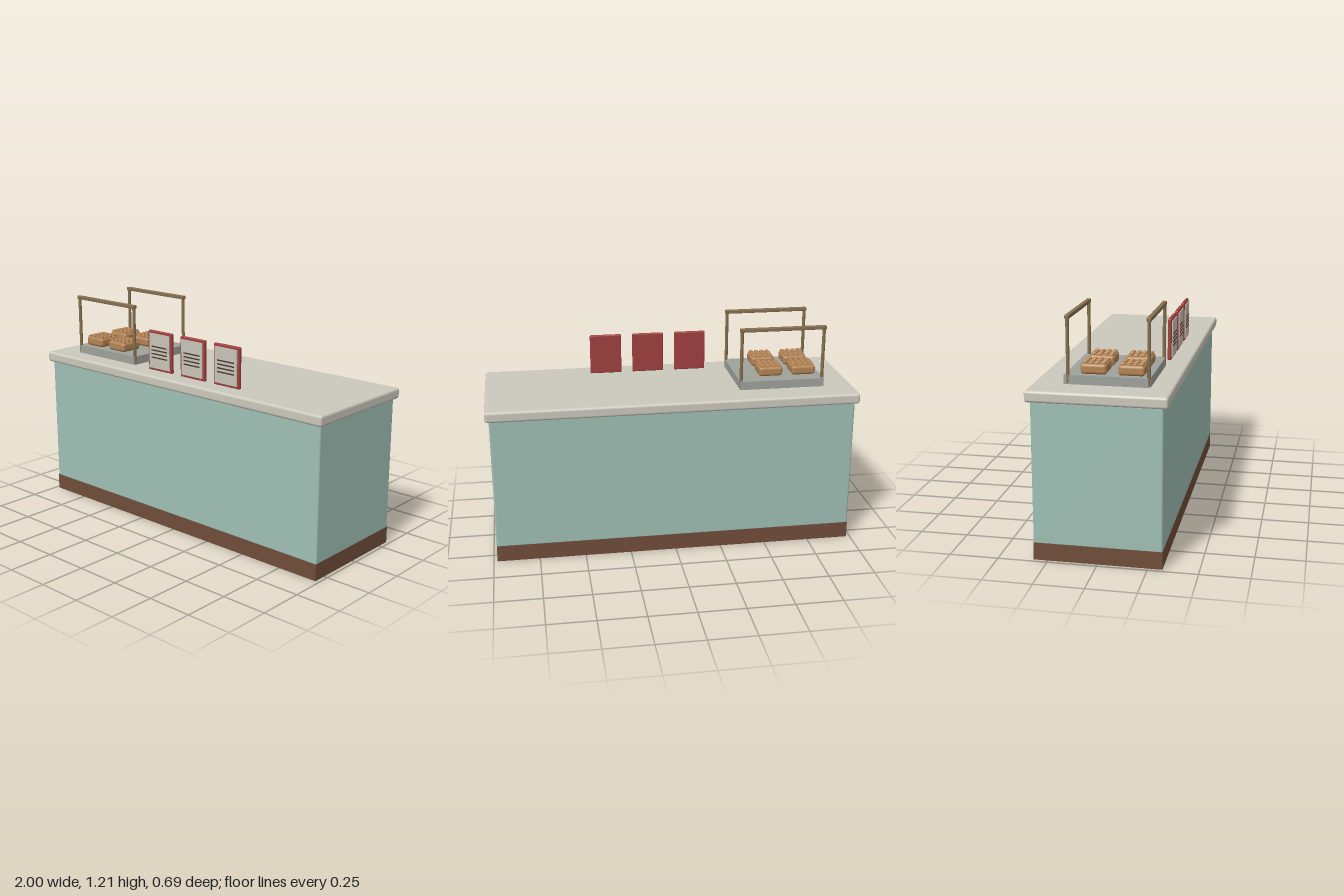
import * as THREE from 'three';
import { RoundedBoxGeometry } from 'three/addons/geometries/RoundedBoxGeometry.js';

const material = (name, color) => {
  const m = new THREE.MeshStandardMaterial({ color });
  m.name = name;
  return m;
};

export function createModel() {
  const teal = material('teal paint', 0x9fbfb5);
  const wood = material('dark wood', 0x704d3a);
  const stone = material('pale stone', 0xcbc8bc);
  const steel = material('grey steel', 0x9fa29b);
  const brass = material('aged brass', 0x86704f);
  const crust = material('golden crust', 0xb38354);
  const red = material('red frame', 0xa0403f);
  const paper = material('paper', 0xc8c5b8);
  const ink = material('dark ink', 0x4a3a32);

  const model = new THREE.Group();
  model.name = 'bakeryCounter';

  const add = (parent, name, geometry, mat, x, y, z) => {
    const mesh = new THREE.Mesh(geometry, mat);
    mesh.name = name;
    mesh.position.set(x, y, z);
    parent.add(mesh);
    return mesh;
  };
  const group = (name, x, y, z) => {
    const g = new THREE.Group();
    g.name = name;
    g.position.set(x, y, z);
    model.add(g);
    return g;
  };

  // Counter: plinth, cabinet and rounded worktop
  add(model, 'plinth', new THREE.BoxGeometry(1.96, 0.09, 0.644), wood, 0, 0.045, 0);
  add(model, 'cabinet', new RoundedBoxGeometry(1.96, 0.73, 0.644, 3, 0.01), teal, 0, 0.449, 0);
  add(model, 'worktop', new RoundedBoxGeometry(2, 0.058, 0.692, 4, 0.014), stone, 0, 0.837, 0);

  // Display tray with a brass rail along the front and the back
  add(model, 'tray', new THREE.BoxGeometry(0.466, 0.047, 0.425), steel, -0.605, 0.8885, 0.0225);
  const postGeometry = new THREE.CylinderGeometry(0.009, 0.009, 0.32, 10);
  const railGeometry = new RoundedBoxGeometry(0.474, 0.02, 0.022, 2, 0.003);
  for (const [name, z] of [['frontRail', 0.227], ['backRail', -0.17]]) {
    const rail = group(name, -0.605, 0, z);
    add(rail, 'bar', railGeometry, brass, 0, 1.195, 0);
    for (const side of [-1, 1]) add(rail, 'post', postGeometry, brass, side * 0.226, 1.033, 0);
  }

  // Four buns with a studded top
  const bunGeometry = new RoundedBoxGeometry(0.132, 0.053, 0.132, 4, 0.016);
  const studGeometry = new RoundedBoxGeometry(0.022, 0.018, 0.022, 2, 0.005);
  for (const x of [-0.745, -0.56]) {
    for (const z of [-0.05, 0.137]) {
      const bun = group('bun', x, 0.912, z);
      add(bun, 'bunBody', bunGeometry, crust, 0, 0.0255, 0);
      for (let i = 0; i < 4; i++) {
        for (let j = 0; j < 4; j++) {
          add(bun, 'bunStud', studGeometry, crust, (i - 1.5) * 0.031, 0.051, (j - 1.5) * 0.031);
        }
      }
    }
  }

  // Three framed menu cards with ruled lines
  const frameGeometry = new RoundedBoxGeometry(0.176, 0.222, 0.02, 3, 0.006);
  const paperGeometry = new THREE.BoxGeometry(0.15, 0.194, 0.006);
  const lineGeometry = new THREE.BoxGeometry(0.115, 0.007, 0.003);
  for (const x of [-0.163, 0.078, 0.318]) {
    const card = group('menuCard', x, 0.976, 0.234);
    add(card, 'cardFrame', frameGeometry, red, 0, 0, 0);
    add(card, 'cardPaper', paperGeometry, paper, 0, 0, 0.012);
    for (let i = 0; i < 4; i++) {
      add(card, 'cardLine', lineGeometry, ink, 0, 0.025 - i * 0.0205, 0.0155);
    }
  }

  return model;
}
